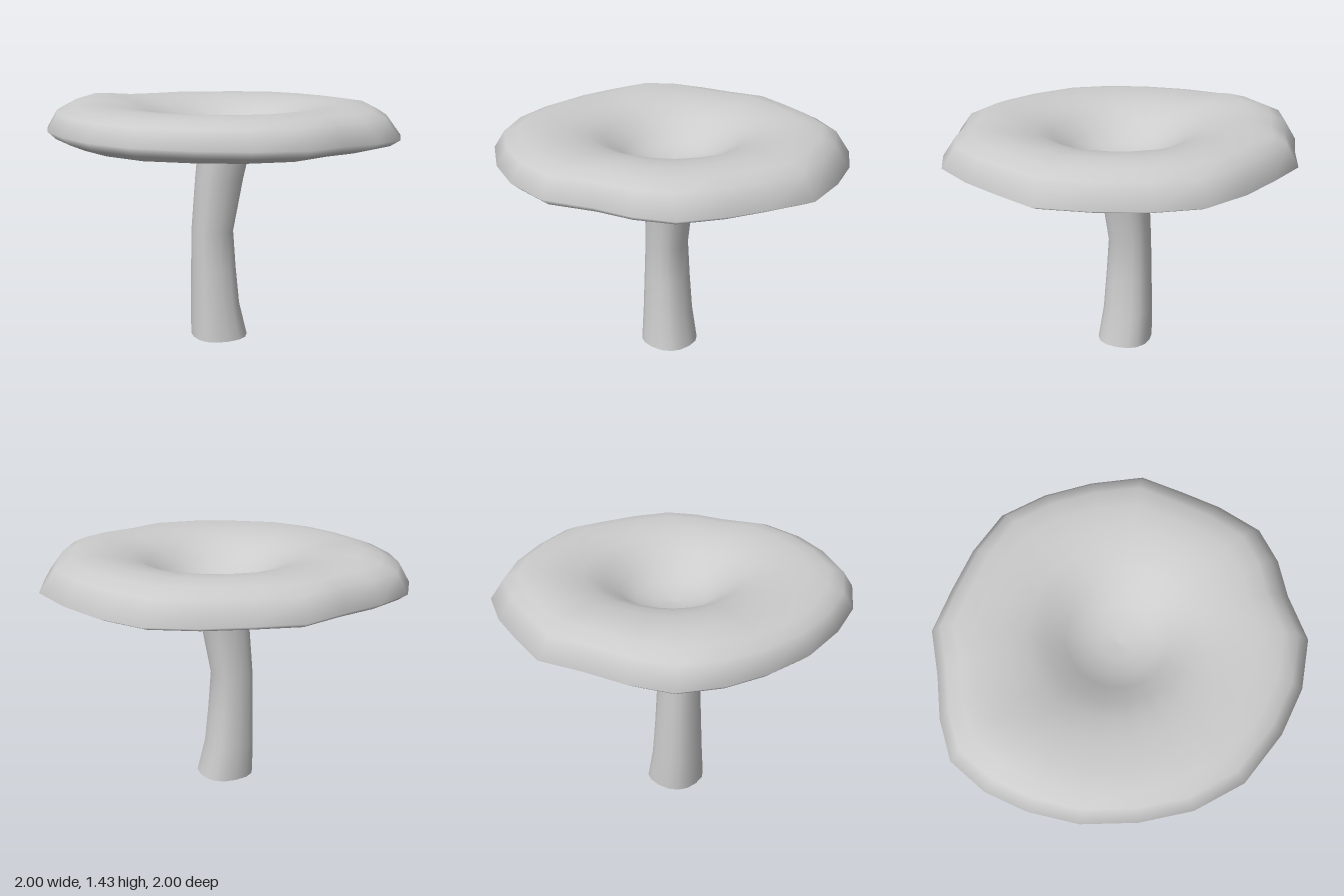
import * as THREE from 'three';

const material = new THREE.MeshStandardMaterial({ color: 0xcccccc, side: THREE.DoubleSide });

// Skin a stack of closed rings (arrays of Vector3) with smooth normals
function loft(name, rings) {
  const n = rings[0].length;
  const index = [];
  for (let i = 0; i < rings.length - 1; i++) {
    for (let j = 0; j < n; j++) {
      const a = i * n + j, b = i * n + (j + 1) % n;
      index.push(b, a, a + n, b, a + n, b + n);
    }
  }
  const geometry = new THREE.BufferGeometry().setFromPoints(rings.flat());
  geometry.setIndex(index);
  geometry.computeVertexNormals();
  const mesh = new THREE.Mesh(geometry, material);
  mesh.name = name;
  return mesh;
}

// Irregular rim of the cap, seen from above (x, z)
const rim = [
  [0, -1], [0.25, -0.92], [0.49, -0.83], [0.72, -0.69], [0.86, -0.46], [0.95, -0.2],
  [1, 0.09], [0.91, 0.32], [0.82, 0.53], [0.68, 0.75], [0.49, 0.85], [0.28, 0.9],
  [0.03, 1], [-0.25, 0.96], [-0.5, 0.85], [-0.76, 0.66], [-0.91, 0.41], [-0.98, 0.14],
  [-1, -0.15], [-0.95, -0.41], [-0.86, -0.63], [-0.71, -0.82], [-0.49, -0.9], [-0.25, -0.94],
];

// Cap section: scale of the rim, height, x shift, rim tilt
const capSection = [
  [0.14, 1.11, -0.02, 0], [0.235, 1.15, -0.015, 0], [0.36, 1.172, 0, 0], [0.6, 1.176, 0, 0],
  [0.86, 1.175, -0.015, 0], [0.95, 1.2, -0.005, 0.5], [1, 1.235, 0, 1],
  [0.93, 1.34, -0.015, 0.3], [0.85, 1.375, -0.015, 0], [0.74, 1.393, -0.02, 0],
  [0.6, 1.38, 0, 0], [0.49, 1.355, 0, 0], [0.39, 1.315, 0, 0], [0.29, 1.245, 0, 0],
  [0.2, 1.195, 0, 0], [0.1, 1.172, 0, 0], [0, 1.165, 0, 0],
];

function makeCap() {
  const rings = capSection.map(([scale, y, shift, tilt]) => rim.map(([rx, rz]) => {
    // Inner rings lose the irregular outline and become round
    const round = THREE.MathUtils.clamp((0.8 - scale) / 0.5, 0, 1);
    const k = scale * THREE.MathUtils.lerp(1, 0.98 / Math.hypot(rx, rz), round);
    const x = rx * k + shift, z = rz * k;
    // Small raised lump on the back of the upper surface
    const lump = y > 1.3 ? 0.035 * Math.exp(-((x + 0.6) ** 2 + (z + 0.47) ** 2) / 0.03) : 0;
    return new THREE.Vector3(x, y + tilt * (0.012 * rz - 0.017 * rx) + lump, z);
  }));
  return loft('cap', rings);
}

// Stem: height, x min, x max, z min, z max
const stemSection = [
  [0, -0.21, 0.115, -0.175, 0.145], [0.2, -0.208, 0.07, -0.17, 0.12],
  [0.42, -0.204, 0.05, -0.162, 0.105], [0.64, -0.2, 0.036, -0.155, 0.092],
  [0.95, -0.18, 0.09, -0.15, 0.122], [1.115, -0.165, 0.125, -0.15, 0.143],
];

function makeStem() {
  const sides = 16;
  const soften = (v) => Math.sign(v) * Math.abs(v) ** 0.85; // slightly squared circle
  const rings = stemSection.map(([y, x0, x1, z0, z1]) =>
    Array.from({ length: sides }, (_, j) => {
      const a = (j / sides) * Math.PI * 2;
      return new THREE.Vector3(
        (x0 + x1) / 2 + soften(Math.sin(a)) * (x1 - x0) / 2,
        y,
        (z0 + z1) / 2 - soften(Math.cos(a)) * (z1 - z0) / 2,
      );
    }));
  return loft('stem', rings); // open at the foot
}

export function createModel() {
  const mushroom = new THREE.Group();
  mushroom.name = 'mushroom';
  mushroom.add(makeStem(), makeCap());
  return mushroom;
}
